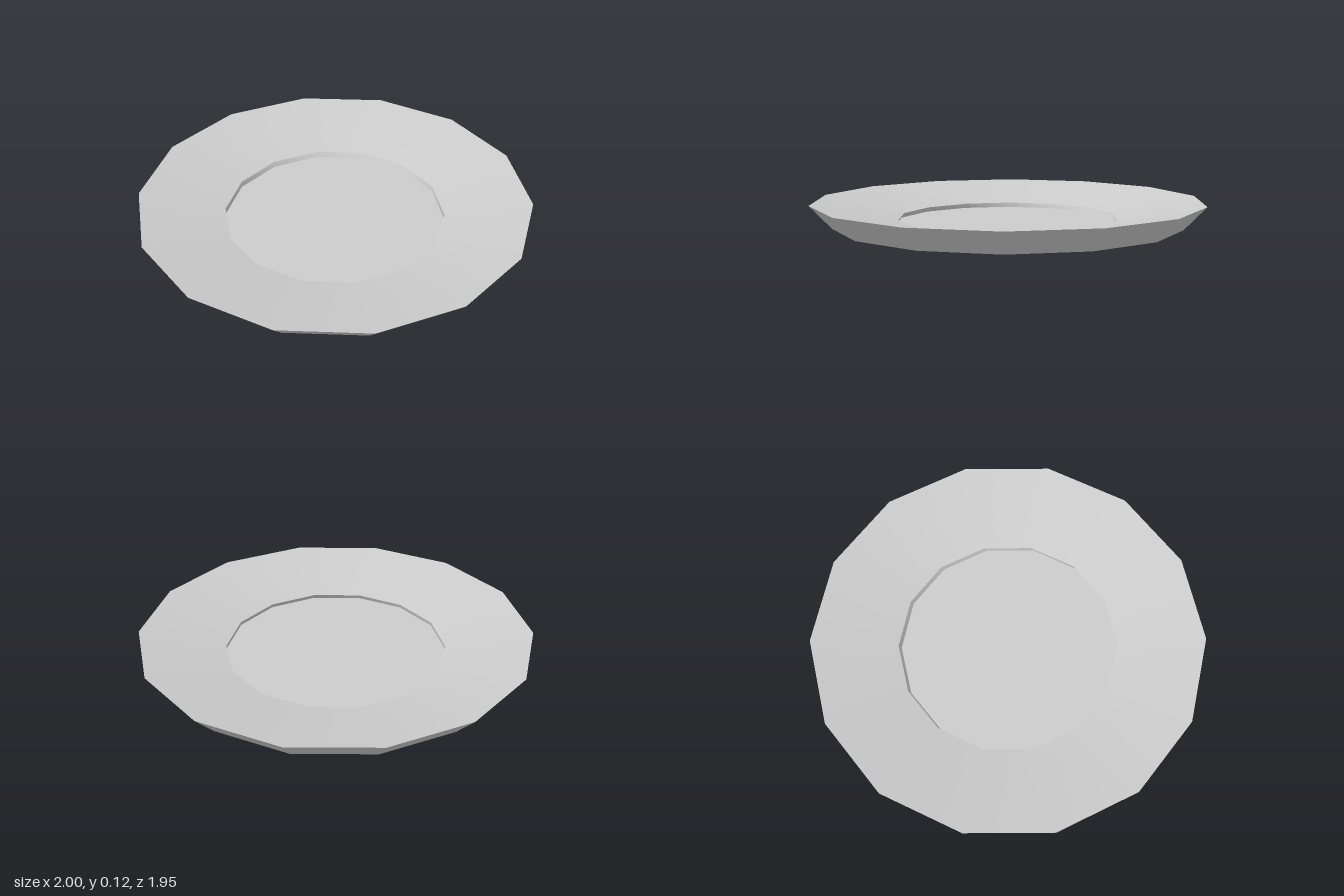
import * as THREE from 'three';

const SIDES = 14;

export function createModel() {
  const group = new THREE.Group();
  group.name = 'plate';
  const ceramic = new THREE.MeshStandardMaterial({ color: 0xcccccc });
  ceramic.name = 'light grey ceramic';

  // One ring per profile segment: smooth around, sharp between rings
  const ring = (name, r0, y0, r1, y1) => {
    const points = [new THREE.Vector2(r0, y0), new THREE.Vector2(r1, y1)];
    const mesh = new THREE.Mesh(new THREE.LatheGeometry(points, SIDES, Math.PI / 2), ceramic);
    mesh.name = name;
    group.add(mesh);
    return mesh;
  };

  ring('base', 0, 0, 0.887, 0);
  ring('outerWall', 0.887, 0, 1, 0.118);
  ring('slopedRim', 1, 0.118, 0.56, 0.035);
  const wall = ring('wellWall', 0.56, 0.035, 0.56, 0.011);
  const floor = ring('wellFloor', 0.56, 0.011, 0, 0.011);

  // The well floor sits very slightly off centre, so its wall leans
  for (const mesh of [wall, floor]) {
    const p = mesh.geometry.attributes.position;
    for (let i = 0; i < p.count; i++) {
      if (p.getY(i) < 0.02) p.setXYZ(i, p.getX(i) + 0.011, p.getY(i), p.getZ(i) + 0.008);
    }
  }
  wall.geometry.computeVertexNormals();

  return group;
}
